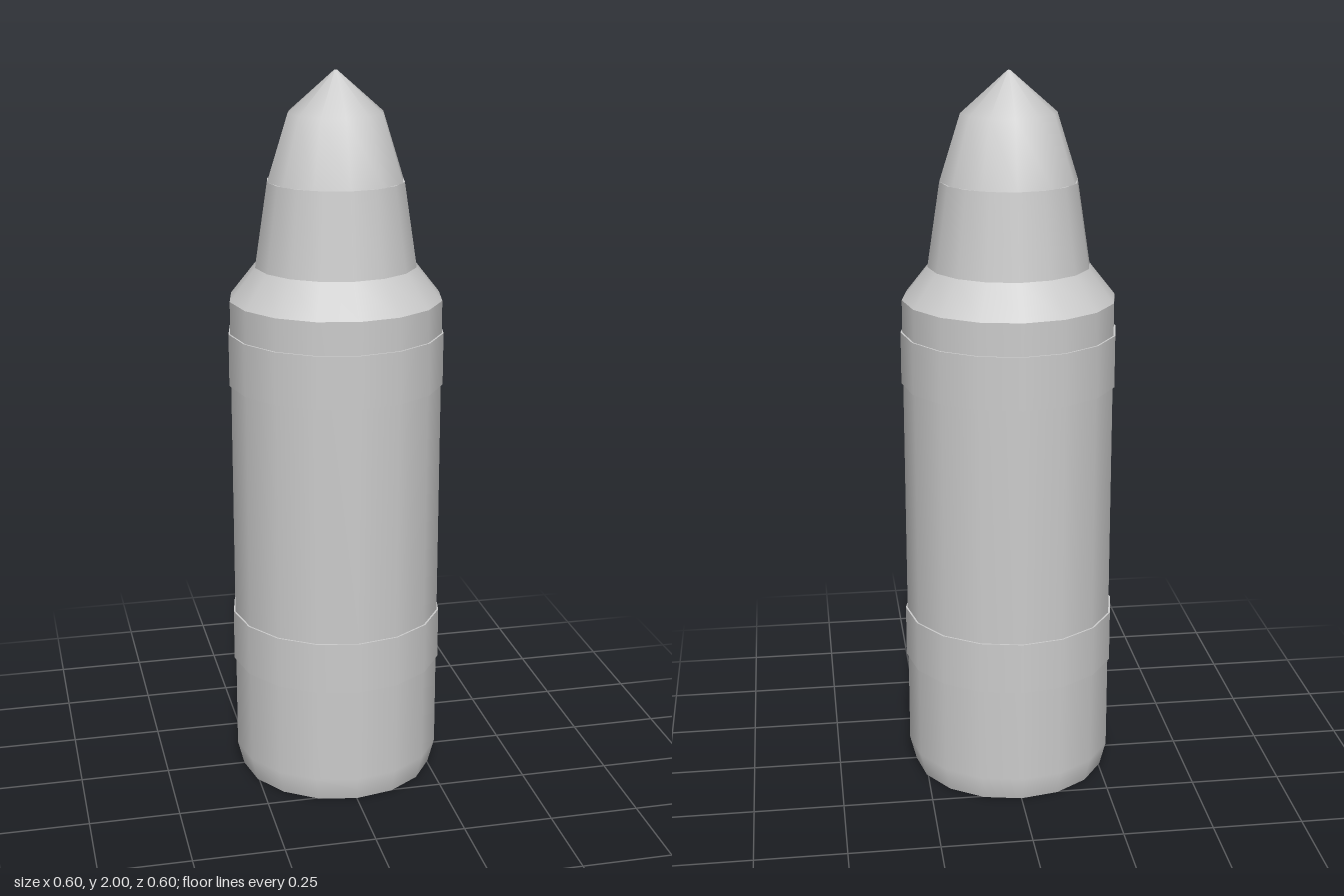
import * as THREE from 'three';

export function createModel() {
  const group = new THREE.Group();
  const grey = new THREE.MeshStandardMaterial({ color: 0xcccccc });
  grey.name = 'light grey';

  const add = (name, geometry) => {
    const mesh = new THREE.Mesh(geometry, grey);
    mesh.name = name;
    group.add(mesh);
    return mesh;
  };
  // Smooth turned surface from [radius, height] points, bottom to top
  const turned = (name, sides, points) =>
    add(name, new THREE.LatheGeometry(points.map(([r, y]) => new THREE.Vector2(r, y)), sides));
  // Flat end disc
  const disc = (name, r, y, up) => {
    const mesh = add(name, new THREE.CircleGeometry(r, 16));
    mesh.rotation.x = up ? -Math.PI / 2 : Math.PI / 2;
    mesh.position.y = y;
  };

  // Casing with a tapered foot
  turned('casing', 16, [[0.275, 0.005], [0.293, 0.07], [0.293, 1.39]]);
  disc('base', 0.275, 0.005, false);

  // Shoulder and neck
  turned('shoulder', 16, [[0.293, 1.39], [0.222, 1.48]]);
  turned('neck', 16, [[0.222, 1.48], [0.187, 1.71]]);
  disc('neckTop', 0.187, 1.71, true);

  // Pointed nose
  turned('nose', 12, [[0.187, 1.71], [0.13, 1.89], [0.004, 2]]);
  const tip = add('noseTip', new THREE.CircleGeometry(0.004, 12));
  tip.rotation.x = -Math.PI / 2;
  tip.position.y = 2;

  // Raised bands round the casing
  for (const [name, bottom, top] of [['lowerBand', 0.34, 0.485], ['upperBand', 1.155, 1.3]]) {
    const band = add(name, new THREE.CylinderGeometry(0.298, 0.298, top - bottom, 16));
    band.position.y = (bottom + top) / 2;
  }

  // Rest the base on the ground
  group.children.forEach((mesh) => { if (mesh.name === 'base') mesh.position.y = 0; });
  const casing = group.getObjectByName('casing');
  casing.geometry.dispose();
  casing.geometry = new THREE.LatheGeometry(
    [[0.275, 0], [0.293, 0.07], [0.293, 1.39]].map(([r, y]) => new THREE.Vector2(r, y)), 16);
  return group;
}
